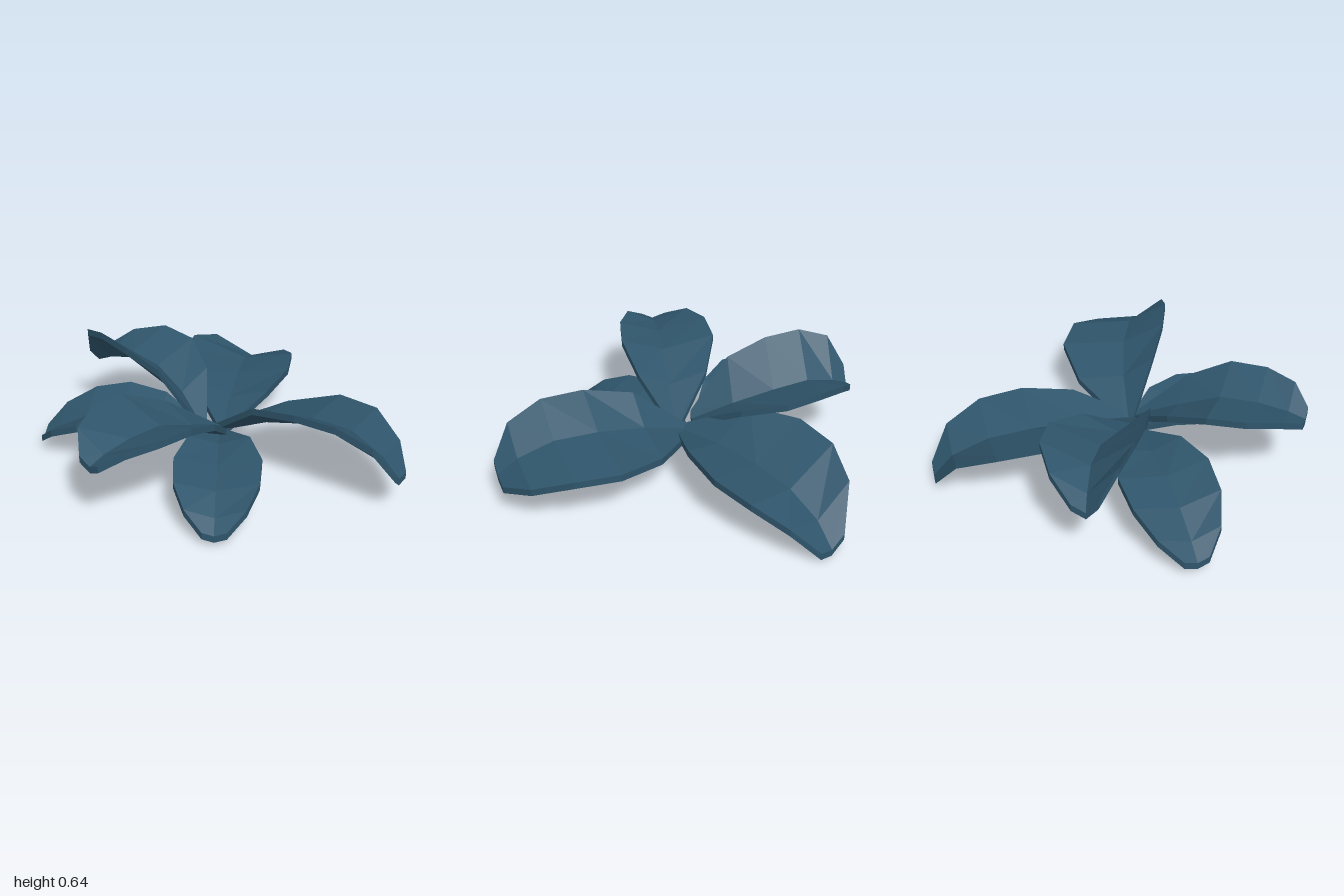
import * as THREE from 'three';

const material = new THREE.MeshStandardMaterial({
  color: 0x2f556b, flatShading: true, roughness: 0.9, side: THREE.DoubleSide,
});

// Shared petal outline: stations along the rib and relative half width there
const STATIONS = [0, 0.25, 0.5, 0.72, 0.9, 1];
const WIDTHS = [0.12, 0.72, 1, 0.95, 0.68, 0.27];
const THICKNESS = 0.04;

// Each petal: base and tip [x, z], rib heights per station, half widths and
// edge lifts for its two sides, and a sideways bow of the rib
const PETALS = [
  { name: 'leftBackPetal', base: [0, -0.03], tip: [0.9, -0.69],
    rib: [0.22, 0.26, 0.27, 0.25, 0.17, 0.05], width: [0.34, 0.31], lift: [0.13, 0.06], bow: 0.02 },
  { name: 'frontPetal', base: [0, -0.06], tip: [0.31, 0.98],
    rib: [0.22, 0.33, 0.39, 0.39, 0.31, 0.22], width: [0.36, 0.23], lift: [-0.03, 0.13], bow: 0.07 },
  { name: 'rightPetal', base: [-0.03, 0], tip: [-0.96, 0.04],
    rib: [0.23, 0.35, 0.45, 0.46, 0.44, 0.41], width: [0.24, 0.3], lift: [0.08, 0.07], bow: 0 },
  { name: 'backPetal', base: [-0.09, -0.1], tip: [-0.14, -1],
    rib: [0.22, 0.34, 0.42, 0.45, 0.41, 0.37], width: [0.24, 0.28], lift: [0.2, 0.08], bow: -0.08 },
  { name: 'rightBackPetal', base: [-0.08, -0.13], tip: [-0.66, -0.85],
    rib: [0.21, 0.25, 0.26, 0.22, 0.14, 0.08], width: [0.23, 0.26], lift: [0.06, 0.06], bow: 0 },
  { name: 'rightFrontPetal', base: [0, -0.06], tip: [-0.59, 0.54],
    rib: [0.18, 0.22, 0.21, 0.18, 0.12, 0.07], width: [0.24, 0.23], lift: [0.05, 0.05], bow: 0 },
];

// Folded petal lofted through six-cornered cross-sections
function petalGeometry({ base, tip, rib, width, lift, bow }) {
  const along = new THREE.Vector3(tip[0] - base[0], 0, tip[1] - base[1]);
  const side = new THREE.Vector3(along.z, 0, -along.x).normalize();
  const rings = STATIONS.map((u, i) => {
    const w = WIDTHS[i];
    const raise = Math.min(1, 1.5 * w);
    const mid = new THREE.Vector3(base[0], rib[i], base[1])
      .addScaledVector(along, u)
      .addScaledVector(side, bow * Math.sin(Math.PI * u));
    const edge = (k, sign) => {
      const p = mid.clone().addScaledVector(side, sign * width[k] * w);
      p.y += lift[k] * raise;
      return p;
    };
    const top = [edge(0, 1), mid, edge(1, -1)];
    const under = top.map((p) => p.clone().setY(p.y - THICKNESS)).reverse();
    return [...top, ...under];
  });

  const positions = [];
  const quad = (a, b, c, d) => [a, b, c, a, c, d].forEach((p) => positions.push(p.x, p.y, p.z));
  for (let i = 0; i < rings.length - 1; i++) {
    for (let k = 0; k < 6; k++) {
      const n = (k + 1) % 6;
      quad(rings[i][k], rings[i][n], rings[i + 1][n], rings[i + 1][k]);
    }
  }
  // End caps
  const t = rings[rings.length - 1], b = rings[0];
  quad(t[0], t[1], t[4], t[5]);
  quad(t[1], t[2], t[3], t[4]);
  quad(b[5], b[4], b[1], b[0]);
  quad(b[4], b[3], b[2], b[1]);

  const geometry = new THREE.BufferGeometry();
  geometry.setAttribute('position', new THREE.Float32BufferAttribute(positions, 3));
  geometry.computeVertexNormals();
  return geometry;
}

export function createModel() {
  const flower = new THREE.Group();
  flower.name = 'flower';
  for (const petal of PETALS) {
    const mesh = new THREE.Mesh(petalGeometry(petal), material);
    mesh.name = petal.name;
    flower.add(mesh);
  }
  return flower;
}
